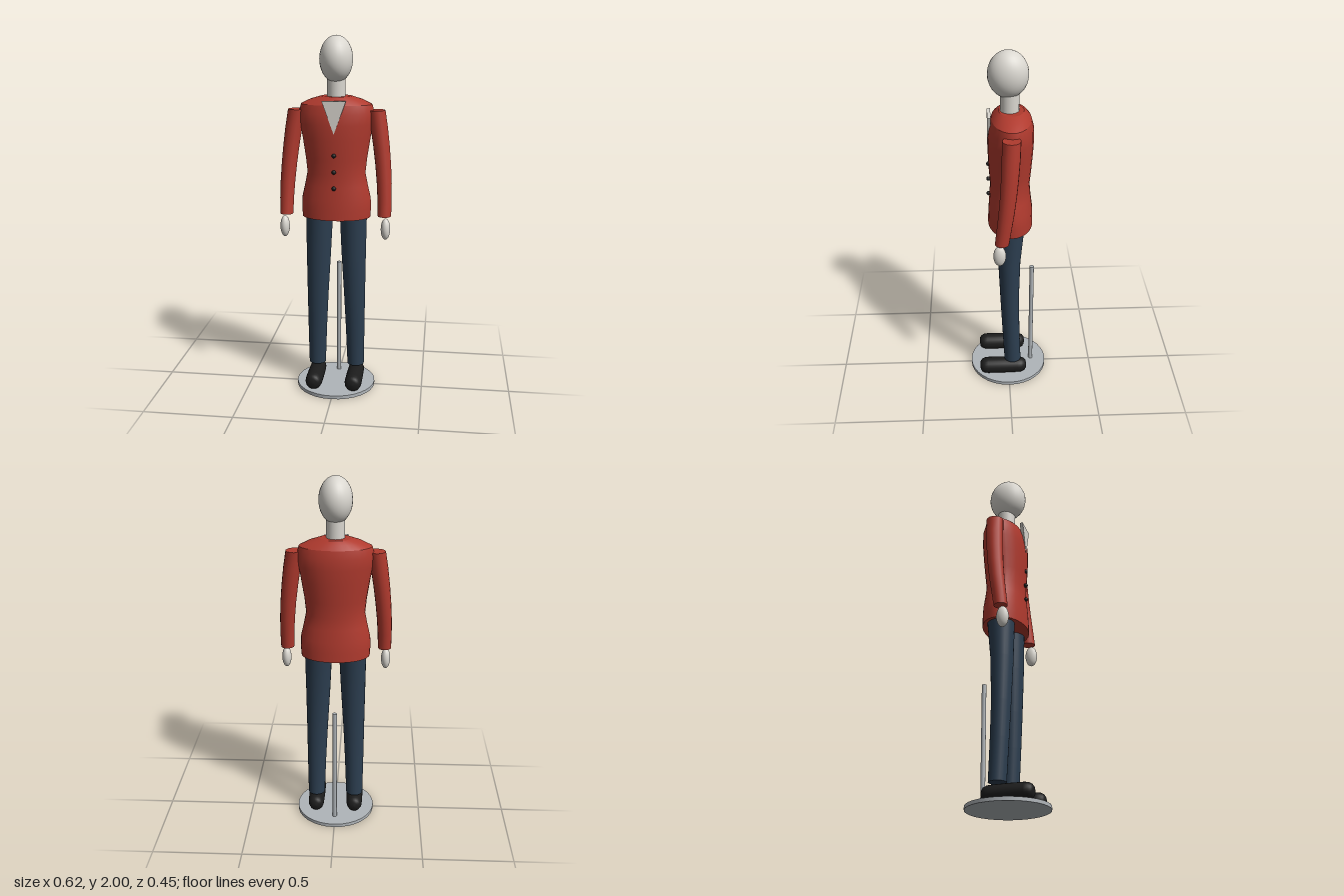
import * as THREE from 'three';

const mat = (name, color) => new THREE.MeshStandardMaterial({ name, color });

// Smooth skin through horizontal ellipses [y, cx, cz, rx, rz], listed bottom to top, with flat sharp-edged caps
function loft(rings, seg = 24, capTop = true, capBottom = true) {
  const pos = [], idx = [];
  const addRing = ([y, cx, cz, rx, rz]) => {
    const start = pos.length / 3;
    for (let j = 0; j < seg; j++) {
      const t = (j / seg) * Math.PI * 2;
      pos.push(cx + rx * Math.sin(t), y, cz + rz * Math.cos(t));
    }
    return start;
  };
  const starts = rings.map(addRing);
  for (let i = 0; i < rings.length - 1; i++) {
    for (let j = 0; j < seg; j++) {
      const k = (j + 1) % seg;
      const a = starts[i] + j, b = starts[i] + k, c = starts[i + 1] + k, d = starts[i + 1] + j;
      idx.push(a, b, c, a, c, d);
    }
  }
  const cap = (ring, up) => {
    const s = addRing(ring), m = pos.length / 3;
    pos.push(ring[1], ring[0], ring[2]);
    for (let j = 0; j < seg; j++) {
      const k = (j + 1) % seg;
      idx.push(m, s + (up ? j : k), s + (up ? k : j));
    }
  };
  if (capTop) cap(rings[rings.length - 1], true);
  if (capBottom) cap(rings[0], false);
  const g = new THREE.BufferGeometry();
  g.setAttribute('position', new THREE.Float32BufferAttribute(pos, 3));
  g.setIndex(idx);
  g.computeVertexNormals();
  return g;
}

const ellipsoid = (rx, ry, rz) => new THREE.SphereGeometry(1, 28, 20).scale(rx, ry, rz);

export function createModel() {
  const group = new THREE.Group();
  group.name = 'mannequin';
  const shell = mat('shell', 0xdad7d0);
  const jacketRed = mat('jacketRed', 0xb03a2e);
  const trouserBlue = mat('trouserBlue', 0x2c3e50);
  const black = mat('black', 0x1c1c1c);
  const metal = mat('metal', 0xb0b5b9);

  const add = (name, geometry, material, x = 0, y = 0, z = 0) => {
    const m = new THREE.Mesh(geometry, material);
    m.name = name;
    m.position.set(x, y, z);
    group.add(m);
    return m;
  };

  // Stand
  add('base', new THREE.CylinderGeometry(0.225, 0.225, 0.02, 32), metal, 0, 0.01, 0);
  add('pole', new THREE.CylinderGeometry(0.0125, 0.0125, 0.68, 14), metal, 0, 0.36, -0.137);

  // Head and neck
  add('head', ellipsoid(0.09, 0.125, 0.107), shell, 0, 1.875, 0);
  add('neck', new THREE.CylinderGeometry(0.05, 0.05, 0.15, 24), shell, 0, 1.735, -0.008);

  // Jacket body, with a crease where the shoulders begin
  add('jacket', loft([
    [1.01, 0, -0.012, 0.190, 0.123],
    [1.06, 0, -0.012, 0.193, 0.122],
    [1.12, 0, -0.012, 0.191, 0.119],
    [1.19, 0, -0.010, 0.175, 0.112],
    [1.26, 0, -0.009, 0.161, 0.107],
    [1.34, 0, -0.010, 0.169, 0.114],
    [1.45, 0, -0.012, 0.186, 0.121],
    [1.53, 0, -0.014, 0.200, 0.123],
    [1.59, 0, -0.016, 0.207, 0.119],
    [1.635, 0, -0.017, 0.195, 0.106],
  ], 28, false), jacketRed);
  add('shoulders', loft([
    [1.635, 0, -0.017, 0.195, 0.106],
    [1.66, 0, -0.017, 0.145, 0.089],
    [1.678, 0, -0.017, 0.085, 0.067],
  ], 28, true, false), jacketRed);

  // Shirt front
  const vee = new THREE.Shape([[-0.065, 1.662], [0, 1.485], [0.065, 1.662]].map(p => new THREE.Vector2(...p)));
  add('shirtFront', new THREE.ExtrudeGeometry(vee, { depth: 0.018, bevelEnabled: false }), shell, 0, 0, 0.092);

  // Buttons
  for (const y of [1.37, 1.28, 1.19]) {
    add('button', new THREE.SphereGeometry(0.012, 14, 10), black, 0, y, 0.106);
  }

  // Shoe outline turned about its long axis
  const shoe = new THREE.LatheGeometry([
    [0, -0.105], [0.022, -0.102], [0.036, -0.092], [0.044, -0.073], [0.046, -0.05], [0.048, 0.04],
    [0.048, 0.125], [0.045, 0.146], [0.037, 0.161], [0.024, 0.17], [0, 0.172],
  ].map(p => new THREE.Vector2(...p)), 24).rotateX(Math.PI / 2);

  for (const [side, s] of [['left', 1], ['right', -1]]) {
    // Sleeve curving outward and forward
    add(side + 'Sleeve', loft([
      [1.03, s * 0.272, 0.043, 0.037, 0.038],
      [1.12, s * 0.271, 0.031, 0.039, 0.040],
      [1.21, s * 0.267, 0.019, 0.041, 0.042],
      [1.31, s * 0.259, 0.008, 0.043, 0.044],
      [1.41, s * 0.248, 0.000, 0.045, 0.046],
      [1.51, s * 0.234, -0.006, 0.047, 0.048],
      [1.605, s * 0.218, -0.010, 0.048, 0.048],
    ], 16), jacketRed);
    add(side + 'Hand', ellipsoid(0.026, 0.06, 0.034), shell, s * 0.28, 0.96, 0.056);
    // Trouser leg
    add(side + 'TrouserLeg', loft([
      [0.12, s * 0.112, -0.022, 0.048, 0.048],
      [0.35, s * 0.109, -0.012, 0.054, 0.050],
      [0.55, s * 0.105, -0.005, 0.060, 0.053],
      [0.80, s * 0.099, -0.003, 0.069, 0.062],
      [1.03, s * 0.095, -0.011, 0.076, 0.076],
    ], 24), trouserBlue);
    add(side + 'Shoe', shoe, black, s * 0.113, 0.063, 0);
  }
  return group;
}
